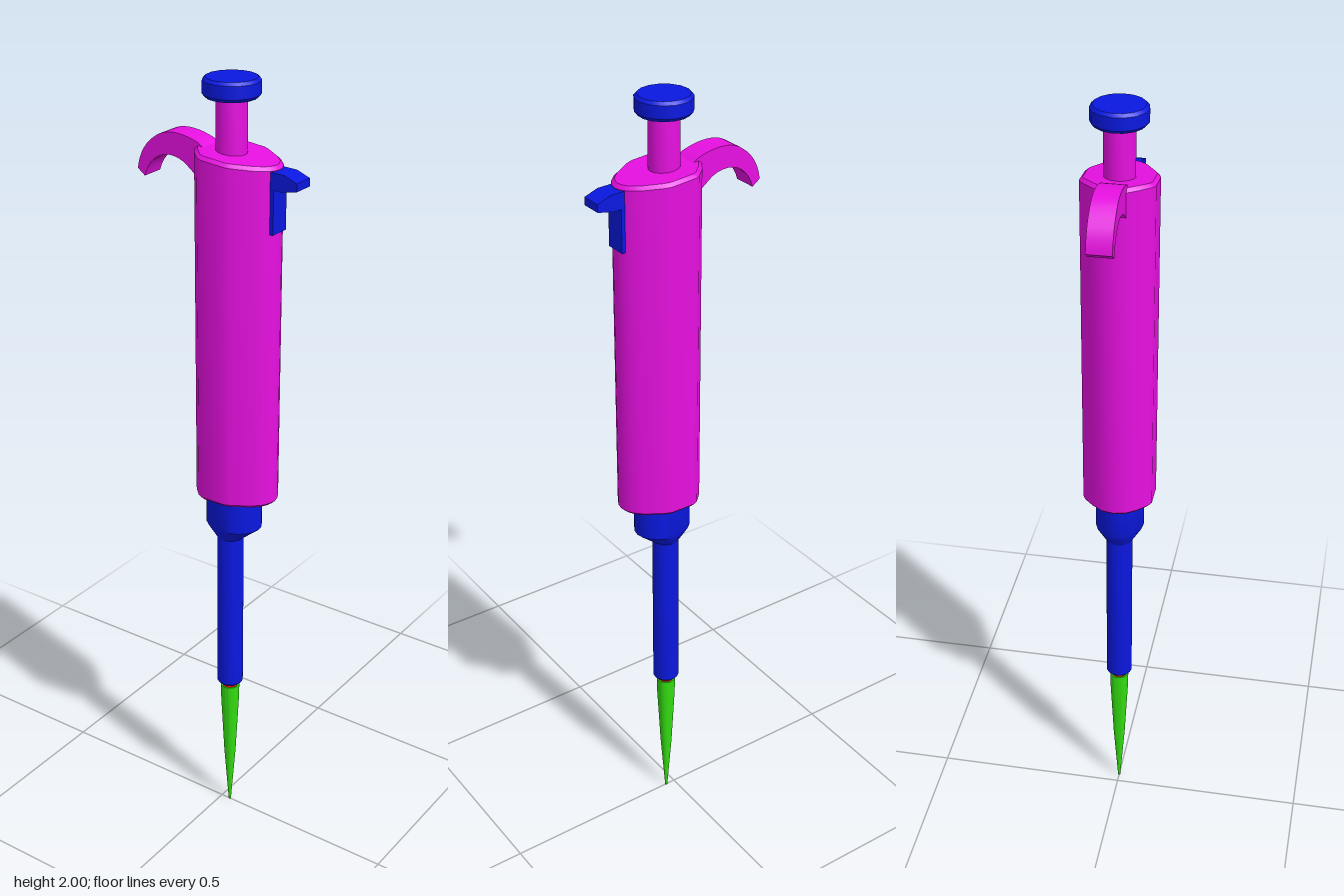
import * as THREE from 'three';
import { toCreasedNormals } from 'three/addons/utils/BufferGeometryUtils.js';

const material = (color) => new THREE.MeshStandardMaterial({ color });
const AXIS = 0.026; // x of the plunger, shaft and tip axis

export function createModel() {
  const group = new THREE.Group();
  const magenta = material(0xe610e0);
  const blue = material(0x0a18e0);
  const green = material(0x33dd11);
  const red = material(0xff1a0a);

  const add = (name, geometry, mat, crease = 0.6) => {
    const mesh = new THREE.Mesh(toCreasedNormals(geometry, crease), mat);
    mesh.name = name;
    group.add(mesh);
    return mesh;
  };
  // Turned part about the main axis; profile runs from bottom to top as [radius, y]
  const turned = (name, profile, mat, sides = 16) => {
    const points = profile.map(([r, y]) => new THREE.Vector2(r, y));
    const mesh = add(name, new THREE.LatheGeometry(points, sides), mat);
    mesh.position.x = AXIS;
    return mesh;
  };
  // Side profile in x and y, given a thickness centred on z = 0
  const slab = (name, shape, width, mat) => {
    const geometry = new THREE.ExtrudeGeometry(shape, { depth: width, bevelEnabled: false, curveSegments: 10 });
    return add(name, geometry.translate(0, 0, -width / 2), mat);
  };
  const polygon = (points) => new THREE.Shape(points.map(([x, y]) => new THREE.Vector2(x, y)));

  // Handle body: mirrored plan outline, bevelled ends, top sloping down to the left side
  const half = [[0.157, 0], [0.154, 0.016], [0.145, 0.034], [0.125, 0.054], [0.08, 0.081], [0.064, 0.087],
    [0, 0.087], [-0.014, 0.08], [-0.038, 0.056], [-0.056, 0.03], [-0.062, 0]];
  const mirrored = half.slice(1, -1).reverse().map(([x, z]) => [x, -z]);
  const bevel = 0.008;
  const body = new THREE.ExtrudeGeometry(polygon([...half, ...mirrored]), {
    depth: 0.87 - 2 * bevel, bevelSize: bevel, bevelThickness: bevel, bevelOffset: -bevel, bevelSegments: 1,
  });
  body.rotateX(-Math.PI / 2).translate(0, 0.968 + bevel, 0);
  const p = body.attributes.position;
  for (let i = 0; i < p.count; i++) {
    if (p.getY(i) > 1.5) p.setY(i, p.getY(i) - 0.1 * Math.max(0, p.getX(i) + 0.03));
  }
  add('handleBody', body, magenta, 0.5);

  // Plunger and thumb button
  turned('plungerRod', [[0, 1.7], [0.037, 1.7], [0.037, 1.96], [0, 1.96]], magenta);
  turned('plungerButton', [[0, 1.955], [0.06, 1.955], [0.067, 1.963], [0.067, 1.993], [0.06, 2], [0, 2]], blue, 15);

  // Finger hook: curved strip out of the body's right side
  const hook = new THREE.Shape();
  hook.moveTo(-0.03, 1.835);
  hook.lineTo(-0.045, 1.845);
  hook.bezierCurveTo(-0.09, 1.862, -0.14, 1.865, -0.17, 1.84);
  hook.quadraticCurveTo(-0.213, 1.81, -0.22, 1.757);
  hook.lineTo(-0.2, 1.742);
  hook.bezierCurveTo(-0.185, 1.795, -0.135, 1.82, -0.085, 1.793);
  hook.lineTo(-0.055, 1.77);
  hook.lineTo(-0.03, 1.77);
  slab('fingerHook', hook, 0.059, magenta);

  // Ejector: slide strip on the body with a short lever at its top
  slab('ejectorStrip', polygon([[0.1, 1.665], [0.158, 1.665], [0.158, 1.81], [0.1, 1.81]]), 0.053, blue);
  slab('ejectorLever', polygon([[0.14, 1.772], [0.175, 1.769], [0.219, 1.777], [0.219, 1.796],
    [0.185, 1.809], [0.14, 1.811]]), 0.053, blue);

  // Collar: oval sections tapering down to the round shaft
  const collar = turned('collar', [[0, 0.835], [0.034, 0.838], [0.061, 0.88], [0.061, 0.975], [0, 0.975]], blue, 20);
  const c = collar.geometry.attributes.position;
  for (let i = 0; i < c.count; i++) {
    const t = THREE.MathUtils.clamp((c.getY(i) - 0.838) / 0.042, 0, 1);
    c.setX(i, c.getX(i) * (1 + 0.21 * t) + 0.011 * t);
  }
  collar.geometry = toCreasedNormals(collar.geometry, 0.6);

  // Shaft, seal ring and disposable tip
  turned('shaft', [[0, 0.397], [0.031, 0.397], [0.034, 0.401], [0.034, 0.85], [0, 0.85]], blue);
  turned('sealRing', [[0, 0.37], [0.021, 0.37], [0.021, 0.4], [0, 0.4]], red);
  turned('tip', [[0, 0], [0.003, 0], [0.0155, 0.17], [0.024, 0.34], [0.025, 0.385], [0, 0.385]], green);

  return group;
}
